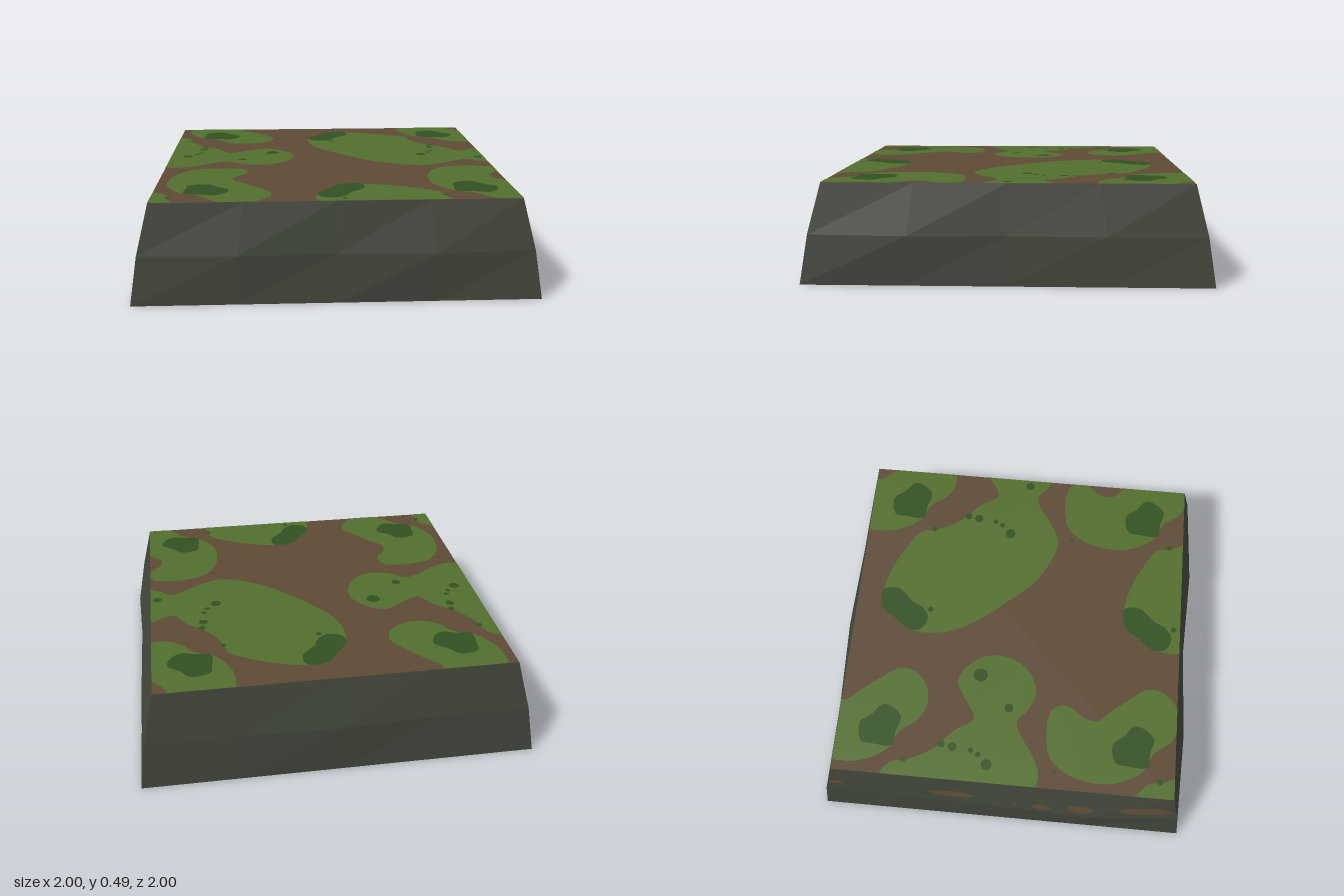
import * as THREE from 'three';

const mat = (name, color, flatShading = false) => {
  const m = new THREE.MeshStandardMaterial({ color, flatShading });
  m.name = name;
  return m;
};

const TOP = 0.487, HALF = 0.907, MID = 0.24, TILE = 136;

// Keep the part of a polygon inside the square top
function clipToTop(points) {
  let poly = points;
  for (const axis of ['x', 'y']) for (const sign of [1, -1]) {
    const out = [];
    poly.forEach((a, i) => {
      const b = poly[(i + 1) % poly.length];
      const da = HALF - sign * a[axis], db = HALF - sign * b[axis];
      if (da >= 0) out.push(a);
      if (da * db < 0) out.push(a.clone().lerp(b, da / (da - db)));
    });
    poly = out;
  }
  return poly;
}

// Smooth closed outline from x, z pairs in hundredths
function outline(pairs) {
  const pts = [];
  for (let i = 0; i < pairs.length; i += 2) pts.push(new THREE.Vector3(pairs[i], pairs[i + 1], 0));
  return new THREE.CatmullRomCurve3(pts, true).getPoints(pts.length * 3).slice(0, -1);
}

function circle([x, z, r]) {
  return Array.from({ length: 8 }, (_, i) => {
    const a = (i / 8) * Math.PI * 2;
    return new THREE.Vector3(x + r * Math.cos(a), z + r * Math.sin(a), 0);
  });
}

// Repeat one ground patch over the tiled top
function addPatches(group, name, points, y, material) {
  for (const i of [-1, 0, 1]) for (const j of [-1, 0, 1]) {
    const poly = clipToTop(points.map(p =>
      new THREE.Vector2((p.x + i * TILE) / 100, -(p.y + j * TILE) / 100)));
    if (poly.length < 3) continue;
    const geo = new THREE.ShapeGeometry(new THREE.Shape(poly)).rotateX(-Math.PI / 2);
    const mesh = new THREE.Mesh(geo, material);
    mesh.position.y = y;
    mesh.name = name;
    group.add(mesh);
  }
}

// One sloping side facing +z: four columns, two rows, a bulging middle row
function sideGeometry(bulge) {
  const geo = new THREE.PlaneGeometry(2, 1, 4, 2);
  const p = geo.attributes.position;
  for (let i = 0; i < p.count; i++) {
    const row = Math.floor(i / 5), col = i % 5;
    const corner = [HALF, 0.965, 1][row];
    const depth = row === 1 && col > 0 && col < 4 ? bulge[col - 1] : corner;
    p.setXYZ(i, (col / 2 - 1) * corner, [TOP, MID, 0][row], depth);
  }
  geo.computeVertexNormals();
  return geo;
}

export function createModel() {
  const model = new THREE.Group();
  const stone = mat('dark stone', 0x40453a, true);
  const soil = mat('brown soil', 0x5d4a35);
  const grass = mat('grass green', 0x526e2d);
  const moss = mat('dark moss green', 0x325122);

  // Sloping stone sides: front, right, back, left
  const bulges = [[0.985, 0.965, 0.99], [0.99, 0.97, 0.98], [0.97, 0.985, 0.965], [0.97, 0.98, 0.995]];
  bulges.forEach((bulge, i) => {
    const side = new THREE.Mesh(sideGeometry(bulge), stone);
    side.rotation.y = (i * Math.PI) / 2;
    side.name = 'stoneSide';
    model.add(side);
  });

  // Underside and soil top
  const bottom = new THREE.Mesh(new THREE.PlaneGeometry(2, 2).rotateX(Math.PI / 2), stone);
  bottom.name = 'underside';
  const ground = new THREE.Mesh(new THREE.PlaneGeometry(2 * HALF, 2 * HALF).rotateX(-Math.PI / 2), soil);
  ground.position.y = TOP;
  ground.name = 'soilTop';
  model.add(bottom, ground);

  // Grass patches
  const smallGrass = [-80, 30, -72, 23, -48, 23, -45, 32, -51, 41, -52, 48, -46, 55, -39, 64, -32, 74,
    -33, 83, -40, 90, -51, 92, -60, 88, -67, 79, -77, 74, -85, 59, -85, 43];
  const largeGrass = [14, -77, 27, -74, 40, -68, 52, -60, 54, -51, 62, -37, 72, -28, 79, -18, 90, -24,
    99, -29, 107, -26, 115, -16, 116, -5, 110, 8, 97, 14, 86, 10, 80, 5, 72, 8, 62, 15, 51, 19,
    38, 15, 24, 6, 14, -5, 3, -18, -7, -34, -10, -48, -9, -58, -2, -69, 6, -76];
  for (const g of [smallGrass, largeGrass]) addPatches(model, 'grassPatch', outline(g), TOP + 0.0015, grass);

  // Moss clumps and specks
  const mossClumps = [
    [-75, -71, -74, -77, -64, -79, -59, -73, -53, -68, -55, -61, -60, -57, -67, -59, -75, -60],
    [14, -77, 15, -68, 8, -60, 5, -54, -1, -50, -8, -53, -9, -60, -3, -68, 3, -76],
  ];
  const specks = [[4, -49, 1.6], [54, -53, 1.6], [63, -28, 2.5], [62, -18, 1.5], [55, -9, 3],
    [87, 0, 2.5], [104, -17, 4], [64, -34, 2], [60, -14, 1.5], [54, 27, 1]];
  for (const m of mossClumps) addPatches(model, 'mossClump', outline(m), TOP + 0.003, moss);
  for (const s of specks) addPatches(model, 'mossSpeck', circle(s), TOP + 0.003, moss);

  // Soil showing through the left stone side: z, y, half length, half height
  const stains = [[0.78, 0.34, 0.15, 0.04], [0.43, 0.31, 0.07, 0.035], [0.22, 0.29, 0.05, 0.025],
    [0.08, 0.29, 0.015, 0.01], [-0.27, 0.33, 0.13, 0.03], [-0.9, 0.34, 0.04, 0.02]];
  const side = model.children[3];
  side.updateMatrixWorld();
  const ray = new THREE.Raycaster();
  for (const [z, y, length, height] of stains) {
    const geo = new THREE.CircleGeometry(1, 14).scale(length, height, 1).rotateY(-Math.PI / 2);
    geo.translate(-1.2, y, z);
    const p = geo.attributes.position;
    for (let i = 0; i < p.count; i++) {
      ray.set(new THREE.Vector3(-1.2, p.getY(i), p.getZ(i)), new THREE.Vector3(1, 0, 0));
      const hit = ray.intersectObject(side)[0];
      p.setX(i, (hit ? hit.point.x : -0.96) - 0.004);
    }
    geo.computeVertexNormals();
    const stain = new THREE.Mesh(geo, soil);
    stain.name = 'soilStain';
    model.add(stain);
  }
  return model;
}
